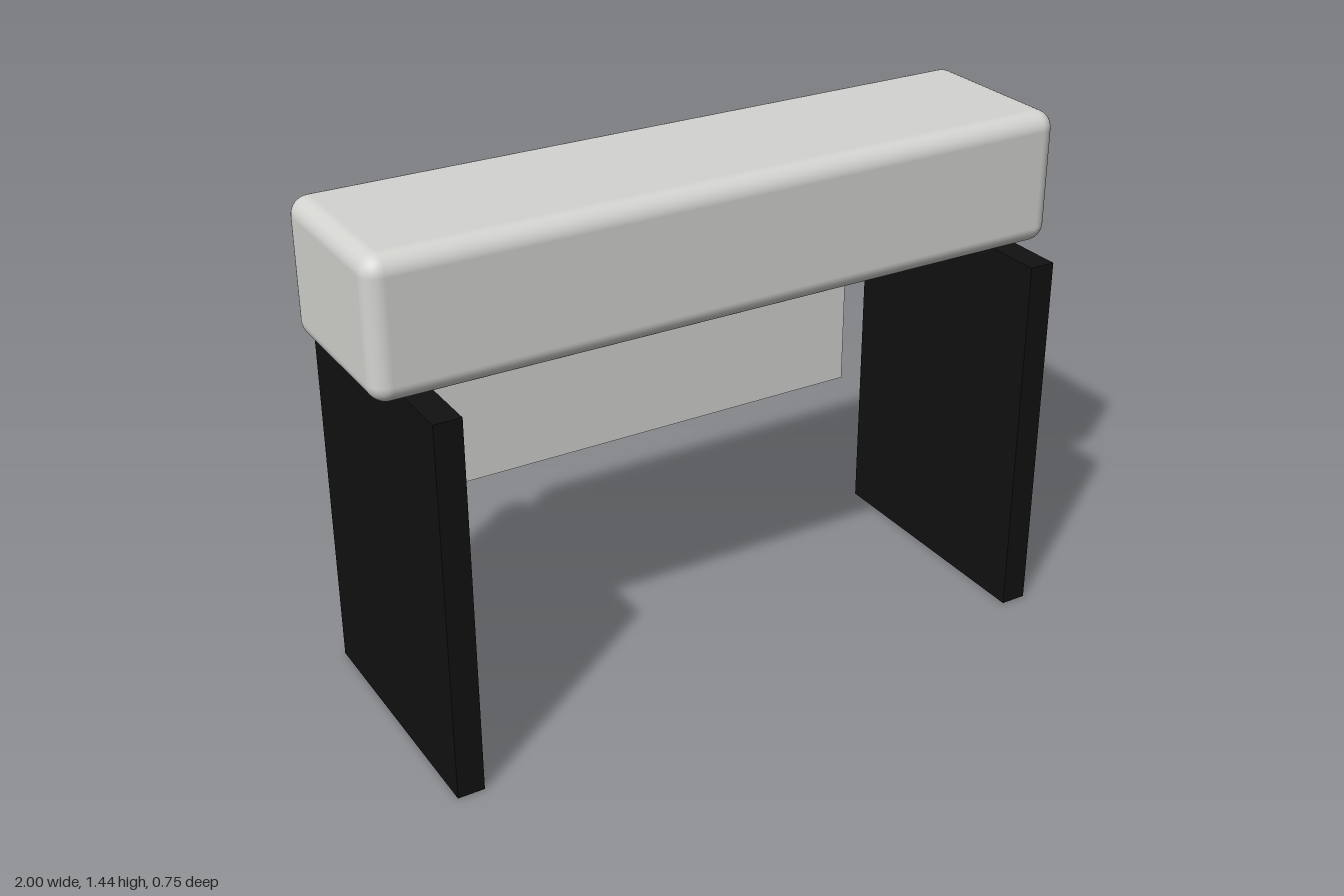
import * as THREE from 'three';
import { RoundedBoxGeometry } from 'three/addons/geometries/RoundedBoxGeometry.js';

export function createModel() {
  const model = new THREE.Group();
  model.name = 'consoleTable';

  const paleGrey = new THREE.MeshStandardMaterial({ name: 'paleGrey', color: 0xd4d4d1 });
  const black = new THREE.MeshStandardMaterial({ name: 'black', color: 0x111111 });

  function add(name, geometry, material, x, y, z) {
    const mesh = new THREE.Mesh(geometry, material);
    mesh.name = name;
    mesh.position.set(x, y, z);
    model.add(mesh);
  }

  // Long softly rounded body resting on the legs
  const legHeight = 1.065, bodyHeight = 0.375;
  add('body', new RoundedBoxGeometry(2, bodyHeight, 0.5, 5, 0.05), paleGrey,
    0, legHeight + bodyHeight / 2, 0);

  // Slab legs, deeper than the body
  const legGeometry = new THREE.BoxGeometry(0.075, legHeight, 0.75);
  for (const [name, side] of [['leftLeg', 1], ['rightLeg', -1]]) {
    add(name, legGeometry, black, side * 0.875, legHeight / 2, 0);
  }

  // Thin modesty panel hanging behind the body
  add('backPanel', new THREE.BoxGeometry(1.375, 0.625, 0.0125), paleGrey, 0, 0.815, -0.274);

  return model;
}
